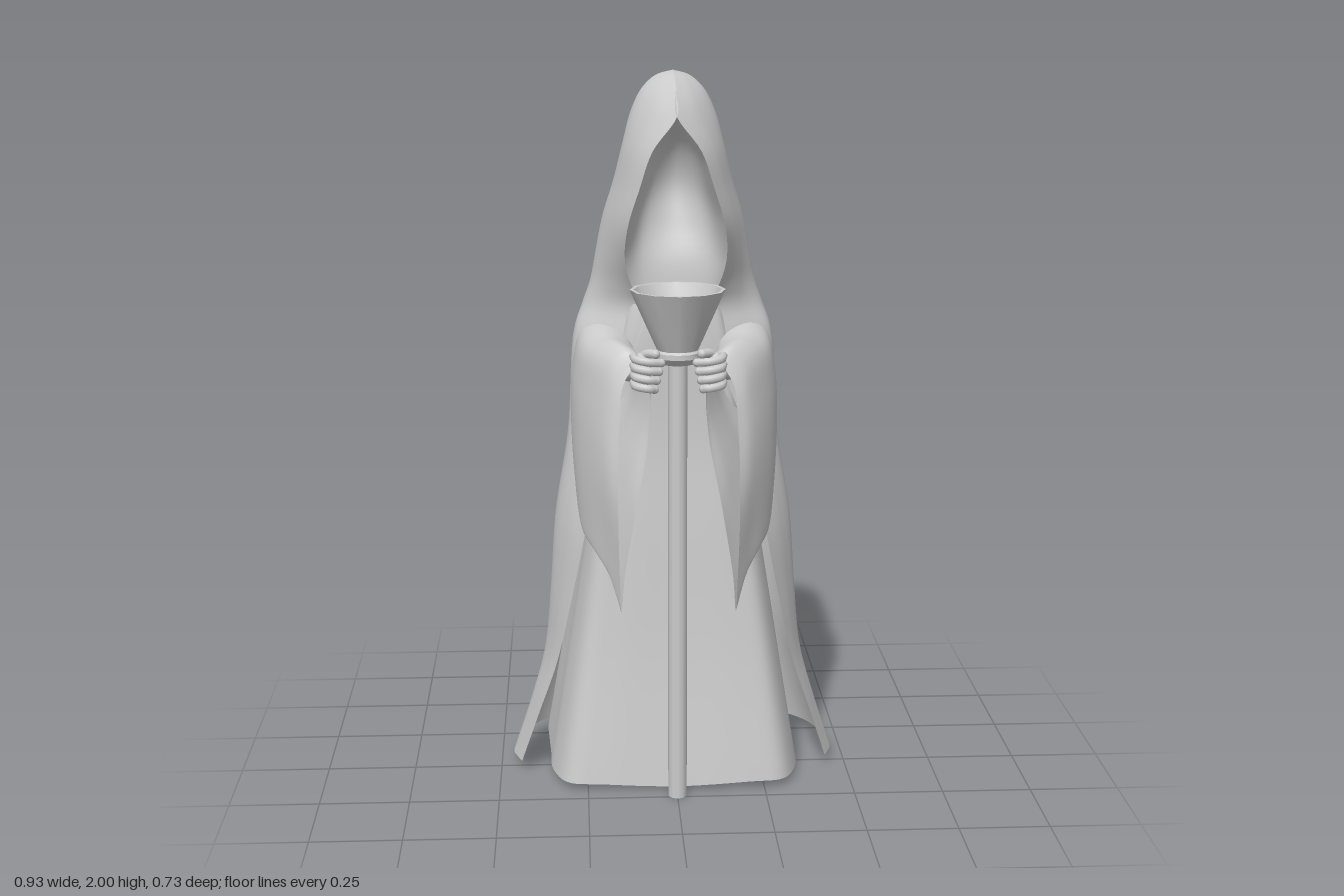
import * as THREE from 'three';
import { mergeVertices, toCreasedNormals } from 'three/addons/utils/BufferGeometryUtils.js';

const V = (x, y, z) => new THREE.Vector3(x, y, z);
const mix = THREE.MathUtils.lerp;
const cloth = new THREE.MeshStandardMaterial({ color: 0xcccccc, side: THREE.DoubleSide });

// Smooth skin through a list of cross-sections (each a short list of points)
function loft(sections, nu, nv, closed = false) {
  const rings = sections.map((pts) => {
    const curve = new THREE.CatmullRomCurve3(pts, closed);
    return Array.from({ length: nu + 1 }, (_, i) => curve.getPoint(i / nu));
  });
  const pos = [], idx = [];
  for (let i = 0; i <= nu; i++) {
    const column = new THREE.CatmullRomCurve3(rings.map((r) => r[i]));
    for (let j = 0; j <= nv; j++) pos.push(...column.getPoint(j / nv).toArray());
  }
  for (let i = 0; i < nu; i++) {
    for (let j = 0; j < nv; j++) {
      const a = i * (nv + 1) + j, b = a + nv + 1;
      idx.push(a, a + 1, b, b, a + 1, b + 1);
    }
  }
  let geo = new THREE.BufferGeometry();
  geo.setAttribute('position', new THREE.Float32BufferAttribute(pos, 3));
  geo.setIndex(idx);
  geo = mergeVertices(geo, 1e-5);
  geo.computeVertexNormals();
  return geo;
}

// Half section (outer end first, centre point last) completed by its mirror image
const mirrored = (half) =>
  [...half, ...half.slice(0, -1).reverse().map((p) => V(-p.x, p.y, p.z))];

function add(parent, name, geo) {
  const mesh = new THREE.Mesh(geo, cloth);
  mesh.name = name;
  parent.add(mesh);
  return mesh;
}

// Hood and cloak rows: y, back z, half width, side z, front edge x, front edge z
const cloakRows = [
  [2.0, -0.03, 0, -0.025, 0, -0.01],
  [1.985, -0.09, 0.047, -0.03, 0, 0.04],
  [1.95, -0.125, 0.085, -0.02, 0, 0.11],
  [1.89, -0.15, 0.115, -0.01, 0, 0.195],
  [1.8, -0.163, 0.14, 0, 0.065, 0.205],
  [1.7, -0.168, 0.165, -0.02, 0.1, 0.205],
  [1.6, -0.175, 0.195, -0.04, 0.13, 0.185],
  [1.5, -0.185, 0.215, -0.04, 0.137, 0.135],
  [1.42, -0.205, 0.23, -0.04, 0.115, 0.105],
  [1.36, -0.215, 0.25, -0.04, 0.08, 0.1],
  [1.28, -0.23, 0.275, -0.02, 0.1, 0.1],
  [1.0, -0.26, 0.295, -0.02, 0.2, 0.1],
  [0.75, -0.285, 0.335, -0.03, 0.25, 0.14],
  [0.55, -0.305, 0.35, -0.03, 0.29, 0.125],
  [0.35, -0.33, 0.37, -0.04, 0.335, 0.1],
  [0.2, -0.345, 0.41, -0.04, 0.385, 0.08],
  [0.03, -0.358, 0.465, -0.05, 0.44, 0.04],
];

function cloakGeometry() {
  const sections = cloakRows.map(([y, zb, w, zs, xe, ze]) => {
    const k = THREE.MathUtils.clamp((2 - y) / 1.2, 0, 1); // squarer towards the hem
    return mirrored([
      V(xe, y, ze),
      V(mix(w, xe, 0.4), y, mix(zs, ze, 0.55)),
      V(w, y, zs),
      V(mix(0.85, 0.87, k) * w, y, mix(zb, zs, mix(0.42, 0.32, k))),
      V(mix(0.5, 0.57, k) * w, y, mix(zb, zs, mix(0.1, 0.02, k))),
      V(0, y, zb),
    ]);
  });
  const geo = loft(sections, 80, 100);
  // Soft vertical folds down the back
  const p = geo.attributes.position;
  for (let i = 0; i < p.count; i++) {
    const z = p.getZ(i), f = THREE.MathUtils.clamp((1.4 - p.getY(i)) / 1.4, 0, 1);
    p.setZ(i, z - 0.008 * f * Math.max(0, -z / 0.36) * Math.cos(p.getX(i) * 23));
  }
  geo.computeVertexNormals();
  return geo;
}

// Shadowed hollow inside the hood opening, sharing the hood's front edge
function liningGeometry() {
  const depth = [0.02, 0.13, 0.17, 0.13, 0.045, 0.005, 0];
  return loft(cloakRows.slice(3, 10).map(([y, , , , xe, ze], i) => mirrored([
    V(-xe, y, ze), V(-xe * 0.65, y, ze - depth[i] * 0.75), V(0, y, ze - depth[i]),
  ])), 24, 30);
}

// Robe rows: y, front z, half width, side z, z where it meets the cloak
function robeGeometry() {
  const rows = [
    [1.42, 0.09, 0.12, 0, -0.1],
    [1.28, 0.1, 0.16, 0, -0.12],
    [1.0, 0.1, 0.2, 0, -0.15],
    [0.75, 0.12, 0.235, 0.03, -0.17],
    [0.4, 0.15, 0.29, 0.04, -0.2],
    [0.02, 0.2, 0.35, 0.08, -0.25],
  ];
  return loft(rows.map(([y, zf, w, zs, zb]) => mirrored([
    V(-w * 1.05, y, zb), V(-w * 1.02, y, mix(zs, zb, 0.4)), V(-w, y, zs),
    V(-w * 0.87, y, mix(zs, zf, 0.85)), V(-w * 0.6, y, zf), V(0, y - 0.01, zf),
  ])), 60, 40);
}

// Wide hanging sleeve rows: z at top, middle, bottom; y top, bottom; outer x, inner x
function sleeveGeometry(side) {
  const rows = [
    [-0.08, -0.08, -0.08, 1.33, 0.95, 0.272, 0.12],
    [0.05, 0.05, 0.08, 1.31, 0.84, 0.28, 0.11],
    [0.13, 0.14, 0.15, 1.295, 0.75, 0.265, 0.1],
    [0.19, 0.21, 0.21, 1.29, 0.715, 0.235, 0.09],
    [0.24, 0.28, 0.26, 1.275, 0.66, 0.195, 0.075],
    [0.265, 0.325, 0.3, 1.23, 0.56, 0.16, 0.07],
  ];
  return loft(rows.map(([zt, zm, zb, yt, yb, xo, xi]) => {
    // v runs from top to tip, a from the inner sheet to the outer sheet
    const at = (v, a) => V(side * mix(xi, xo, a), mix(yt, yb, v),
      v < 0.5 ? mix(zt, zm, v * 2) : mix(zm, zb, v * 2 - 1));
    return [at(0, 0.5), at(0.06, 0.85), at(0.25, 1), at(0.55, 1.04), at(0.85, 1),
      at(1, 0.95), at(0.85, 0.86), at(0.55, 0.5), at(0.25, 0.1), at(0.06, 0.1)];
  }), 60, 24, true);
}

// Hand with four curled fingers, a thumb and a wrist
function makeHand(side) {
  const hand = new THREE.Group();
  hand.name = side > 0 ? 'leftHand' : 'rightHand';
  const palm = add(hand, 'palm', new THREE.SphereGeometry(1, 16, 12));
  palm.scale.set(0.028, 0.05, 0.04);
  palm.position.set(side * 0.1, 1.225, 0.265);
  const digit = (name, r, pts) => {
    const path = pts.map(([x, y, z]) => V(side * x, y, z));
    add(hand, name, new THREE.TubeGeometry(new THREE.CatmullRomCurve3(path), 10, r, 8));
    const tip = add(hand, name + 'Tip', new THREE.SphereGeometry(r, 8, 6));
    tip.position.copy(path[path.length - 1]);
  };
  for (let i = 0; i < 4; i++) {
    const y = 1.258 - i * 0.024;
    digit('finger', 0.0115, [[0.12, y + 0.008, 0.265], [0.112, y + 0.004, 0.3],
      [0.08, y, 0.313], [0.047 + i * 0.006, y - 0.004, 0.302]]);
  }
  digit('thumb', 0.013, [[0.11, 1.245, 0.25], [0.085, 1.272, 0.27], [0.062, 1.275, 0.29]]);
  digit('wrist', 0.026, [[0.17, 1.2, 0.12], [0.13, 1.21, 0.2], [0.1, 1.225, 0.26]]);
  return hand;
}

// Staff topped by a flared bowl
function makeTorch() {
  const torch = new THREE.Group();
  torch.name = 'torch';
  torch.position.z = 0.237;
  add(torch, 'staff', new THREE.CylinderGeometry(0.026, 0.026, 1.25, 12)).position.y = 0.625;
  const profile = [[0, 1.24], [0.045, 1.24], [0.062, 1.258], [0.062, 1.272], [0.056, 1.278],
    [0.128, 1.44], [0.118, 1.44], [0.075, 1.34], [0, 1.34]];
  const bowl = new THREE.LatheGeometry(profile.map(([r, y]) => new THREE.Vector2(r, y)), 12);
  add(torch, 'bowl', toCreasedNormals(bowl, 0.6));
  return torch;
}

export function createModel() {
  const model = new THREE.Group();
  model.name = 'hoodedFigure';
  add(model, 'hoodAndCloak', cloakGeometry());
  add(model, 'hoodLining', liningGeometry());
  add(model, 'robe', robeGeometry());
  for (const side of [1, -1]) {
    add(model, side > 0 ? 'leftSleeve' : 'rightSleeve', sleeveGeometry(side));
    model.add(makeHand(side));
  }
  model.add(makeTorch());
  return model;
}
